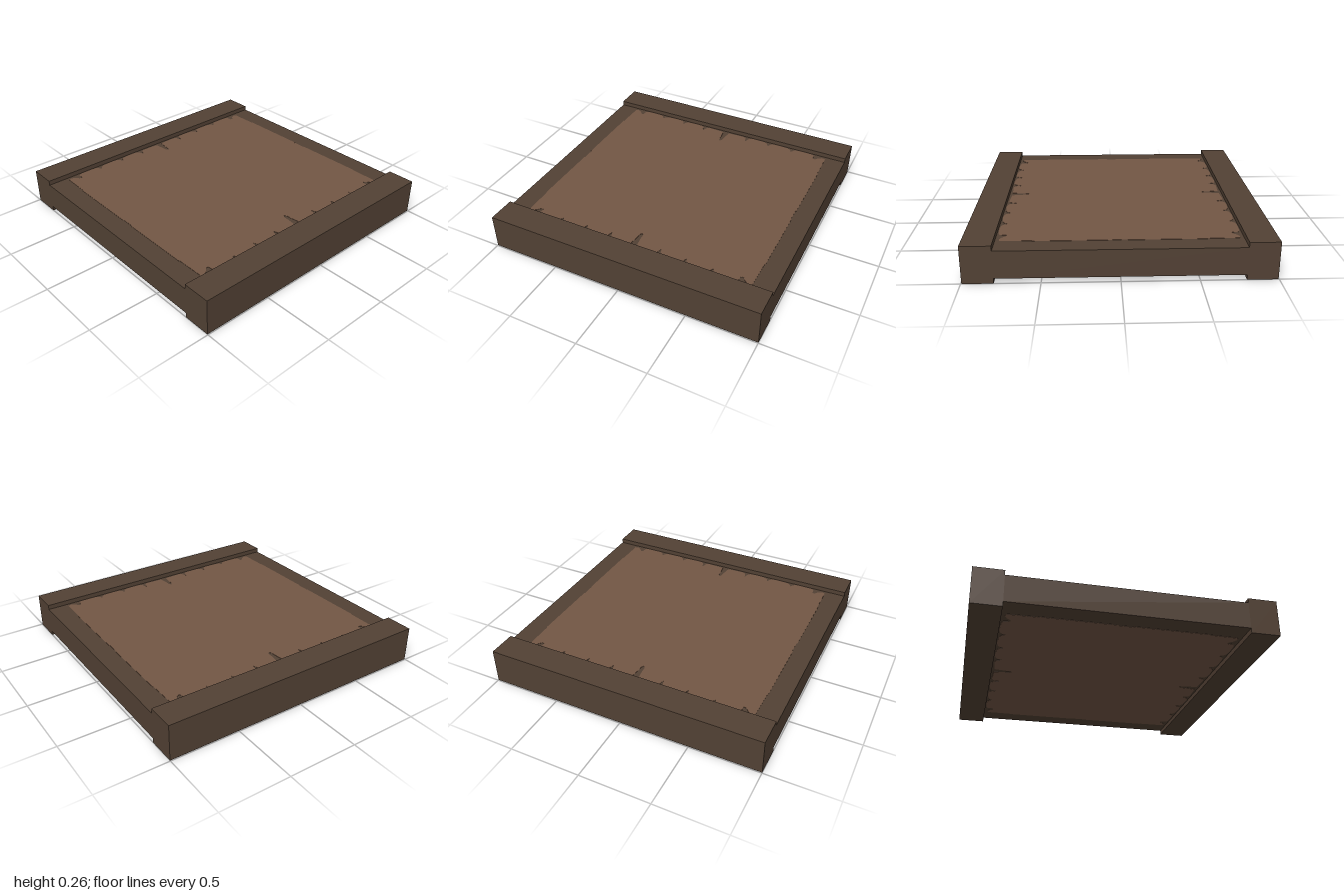
import * as THREE from 'three';

const WIDTH = 1.99, DEPTH = 2, HEIGHT = 0.256;
const RAIL = 0.2, SLAB_HEIGHT = 0.188;

// Worn outline of the panel: one quarter, mirrored into all four
function panelShape() {
  const quarter = [[0.645, 0], [0.66, 0.012], [0.7, 0.014], [0.775, 0.025]];
  const notches = [[0.19, 0.725], [0.38, 0.738], [0.575, 0.745]];
  for (const [z, x] of notches) {
    quarter.push([0.782, z - 0.04], [0.77, z - 0.015], [x, z],
      [0.77, z + 0.015], [0.782, z + 0.03], [0.789, z + 0.07]);
  }
  quarter.push([0.785, 0.73], [0.775, 0.757], [0.73, 0.762], [0.73, 0.78],
    [0.755, 0.8], [0.77, 0.825], [0.765, 0.852], [0.56, 0.855], [0.56, 0.86], [0.05, 0.86], [0.05, 0.855]);
  const mirror = (sx, sz) => quarter.map(([x, z]) => new THREE.Vector2(x * sx, z * sz));
  return new THREE.Shape([
    ...mirror(1, 1), ...mirror(-1, 1).reverse(),
    ...mirror(-1, -1).slice(1), ...mirror(1, -1).reverse().slice(0, -1),
  ]);
}

export function createModel() {
  const model = new THREE.Group();
  const darkWood = new THREE.MeshStandardMaterial({ color: 0x524134 });
  darkWood.name = 'dark wood';
  const lightWood = new THREE.MeshStandardMaterial({ color: 0x735745 });
  lightWood.name = 'light wood';

  const add = (name, geometry, material, x, y, z) => {
    const mesh = new THREE.Mesh(geometry, material);
    mesh.name = name;
    mesh.position.set(x, y, z);
    model.add(mesh);
    return mesh;
  };

  // Recessed slab between the rails
  add('slab', new THREE.BoxGeometry(WIDTH - 2 * RAIL, SLAB_HEIGHT, DEPTH), darkWood, 0, HEIGHT / 2, 0);

  // Thicker rail along each side
  for (const [name, side] of [['leftRail', 1], ['rightRail', -1]]) {
    add(name, new THREE.BoxGeometry(RAIL, HEIGHT, DEPTH), darkWood, side * (WIDTH - RAIL) / 2, HEIGHT / 2, 0);
  }

  // Thin worn panels on the top and underside of the slab
  const plate = 0.003;
  const panel = new THREE.ExtrudeGeometry(panelShape(), { depth: plate, bevelEnabled: false });
  panel.rotateX(-Math.PI / 2);
  add('topPanel', panel, lightWood, 0, (HEIGHT + SLAB_HEIGHT) / 2 - 0.001, 0);
  add('bottomPanel', panel, lightWood, 0, (HEIGHT - SLAB_HEIGHT) / 2 - plate + 0.001, 0);

  return model;
}
